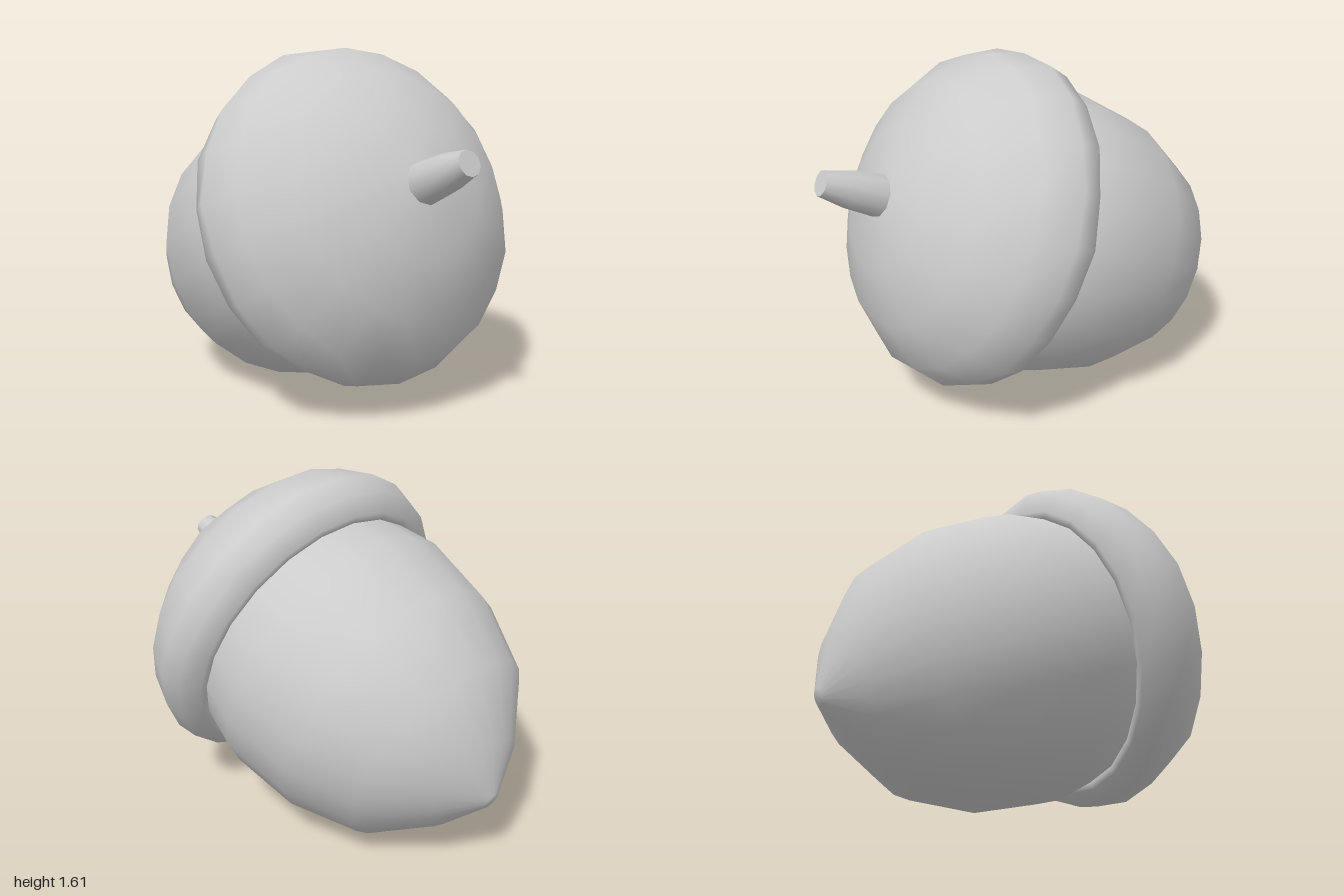
import * as THREE from 'three';
import { mergeVertices, toCreasedNormals } from 'three/addons/utils/BufferGeometryUtils.js';

const material = new THREE.MeshStandardMaterial({ color: 0xcccccc });

// Turned solid with welded seam; points are [radius, height], bottom to top.
function turned(points, sides) {
  const profile = points.map(([r, h]) => new THREE.Vector2(r, h));
  const geo = new THREE.LatheGeometry(profile, sides, Math.PI / 2);
  geo.deleteAttribute('uv');
  geo.deleteAttribute('normal');
  const welded = mergeVertices(geo, 1e-4);
  welded.computeVertexNormals();
  return welded;
}

function part(name, geometry) {
  const mesh = new THREE.Mesh(geometry, material);
  mesh.name = name;
  return mesh;
}

export function createModel() {
  const model = new THREE.Group();
  model.name = 'acorn';

  // Nut, running a little way up inside the cap
  const nut = turned([
    [0, -1.19], [0.04, -1.185], [0.26, -1.07], [0.515, -0.853],
    [0.648, -0.545], [0.692, -0.2], [0.655, 0], [0.6, 0.15],
  ], 22);

  // Cap with a rolled lip and a slightly uneven surface
  const cap = turned([
    [0.6, 0.04], [0.66, 0], [0.69, 0.002], [0.772, 0.057], [0.79, 0.162],
    [0.727, 0.333], [0.555, 0.502], [0.32, 0.615], [0.085, 0.652], [0, 0.657],
  ], 22);
  const pos = cap.attributes.position;
  for (let i = 0; i < pos.count; i++) {
    const x = pos.getX(i), y = pos.getY(i), z = pos.getZ(i);
    if (y < 0.05 || y > 0.6) continue;
    const a = Math.atan2(z, x);
    const k = 1 + 0.007 * Math.sin(7 * a + 9 * y) + 0.006 * Math.sin(10 * a - 14 * y);
    pos.setXYZ(i, x * k, y, z * k);
  }
  cap.computeVertexNormals();

  // Tapered stem with a flat cut end
  const stem = toCreasedNormals(turned([
    [0.098, 0.6], [0.096, 0.66], [0.084, 0.8], [0.057, 0.93], [0, 0.93],
  ], 10), 0.8);

  model.add(part('nut', nut), part('cap', cap), part('stem', stem));

  // Lay the acorn on its side, stem towards +x and raised
  const tilted = new THREE.Group();
  tilted.name = 'tiltedAcorn';
  tilted.add(...model.children.slice());
  tilted.rotation.z = -THREE.MathUtils.degToRad(67.85);
  tilted.position.set(0.12, 0.806, 0);
  model.add(tilted);
  return model;
}
